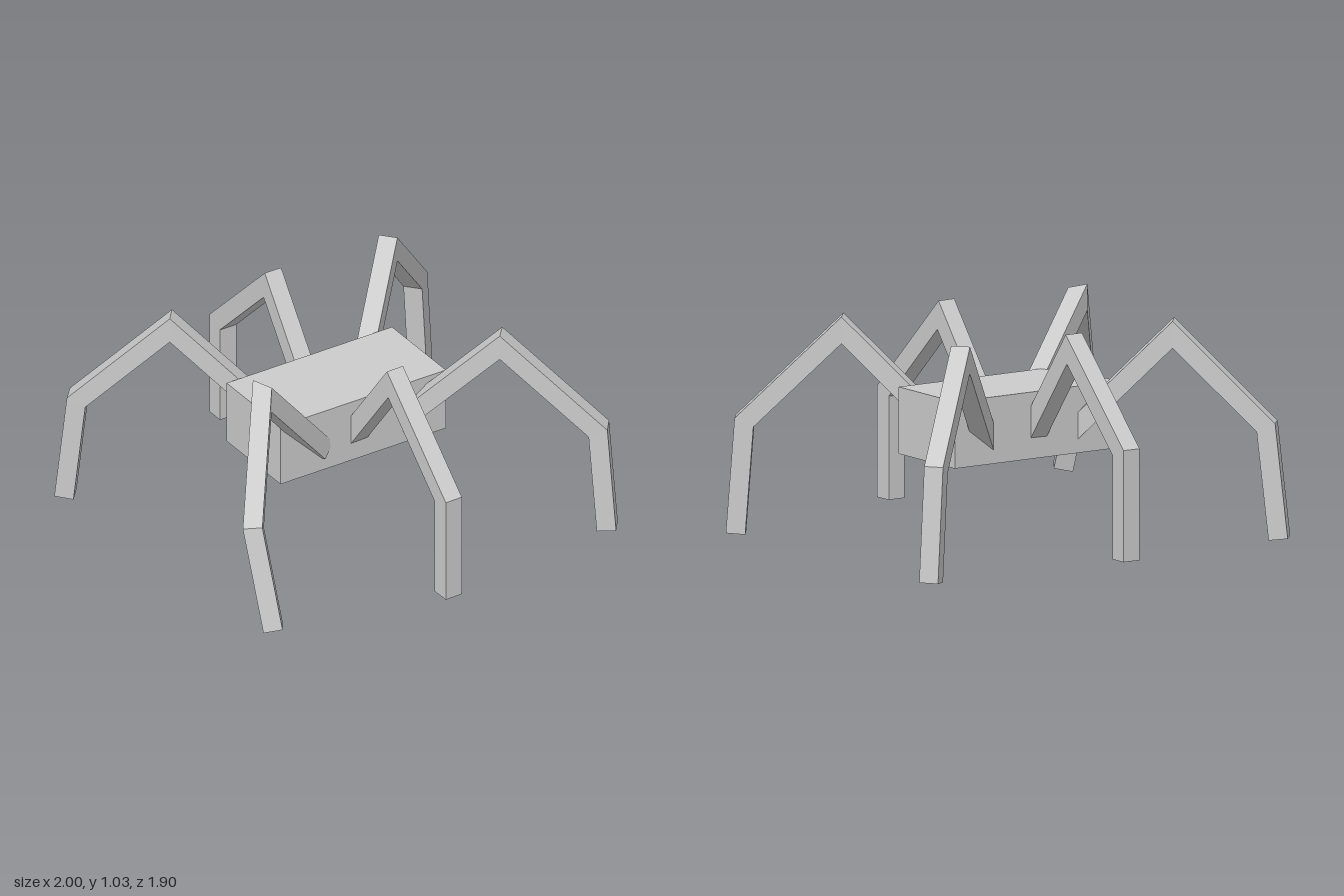
import * as THREE from 'three';

const HALF = 0.043; // half width of the square leg section

const material = () => new THREE.MeshStandardMaterial({ color: 0xcccccc, flatShading: true });

// Square beam swept along a bent path with mitred joints and square-cut ends
function mitredBeam(points) {
  const p = points.map((q) => new THREE.Vector3(...q));
  const dirs = p.slice(1).map((q, i) => q.clone().sub(p[i]).normalize());
  const normals = p.map((_, i) => {
    const a = dirs[Math.max(i - 1, 0)];
    const b = dirs[Math.min(i, dirs.length - 1)];
    return a.clone().add(b).normalize();
  });
  // slide corners along a segment until they meet the joint plane
  const slide = (ring, dir, i) => ring.map((c) => {
    const t = p[i].clone().sub(c).dot(normals[i]) / dir.dot(normals[i]);
    return c.clone().addScaledVector(dir, t);
  });

  // section set level on the middle segment, then carried both ways
  const d = dirs[1];
  const side = new THREE.Vector3(0, 1, 0).cross(d).normalize();
  const up = d.clone().cross(side);
  const section = [[1, 1], [-1, 1], [-1, -1], [1, -1]].map(([s, u]) =>
    p[1].clone().addScaledVector(side, s * HALF).addScaledVector(up, u * HALF));
  const knee = slide(section, d, 1);
  const ankle = slide(section, d, 2);
  const rings = [slide(knee, dirs[0], 0), knee, ankle, slide(ankle, dirs[2], 3)];

  const pos = [];
  const quad = (a, b, c, e) => [a, b, c, a, c, e].forEach((v) => pos.push(v.x, v.y, v.z));
  for (let i = 0; i < 3; i++) {
    for (let k = 0; k < 4; k++) {
      const n = (k + 1) % 4;
      quad(rings[i][k], rings[i][n], rings[i + 1][n], rings[i + 1][k]);
    }
  }
  quad(...rings[3]);
  quad(...[...rings[0]].reverse());

  const geometry = new THREE.BufferGeometry();
  geometry.setAttribute('position', new THREE.Float32BufferAttribute(pos, 3));
  geometry.computeVertexNormals();
  return geometry;
}

// Joint centres of each leg: root, knee, ankle, foot
const LEGS = {
  frontLeftLeg: [[0.21, 0.47, 0.16], [0.55, 0.925, 0.48], [0.892, 0.505, 0.745], [0.92, 0.005, 0.77]],
  backLeftLeg: [[0.22, 0.47, -0.16], [0.568, 0.93, -0.46], [0.895, 0.515, -0.742], [0.937, 0.017, -0.765]],
  frontRightLeg: [[-0.2, 0.48, 0.18], [-0.605, 0.957, 0.325], [-0.893, 0.56, 0.695], [-0.87, 0.1, 0.82]],
  backRightLeg: [[-0.22, 0.47, -0.16], [-0.59, 0.925, -0.437], [-0.9, 0.515, -0.715], [-0.938, 0.015, -0.755]],
  frontMiddleLeg: [[-0.025, 0.47, 0.155], [-0.018, 0.925, 0.5], [-0.006, 0.523, 0.908], [-0.006, 0.04, 0.908]],
  backMiddleLeg: [[-0.02, 0.47, -0.155], [-0.015, 0.925, -0.5], [-0.01, 0.523, -0.908], [-0.01, 0.04, -0.908]],
};

export function createModel() {
  const model = new THREE.Group();
  model.name = 'walker';

  // Plain box body
  const body = new THREE.Mesh(new THREE.BoxGeometry(0.87, 0.3, 0.435), material());
  body.name = 'body';
  body.position.set(-0.003, 0.54, -0.002);
  model.add(body);

  // Six jointed legs
  for (const [name, joints] of Object.entries(LEGS)) {
    const leg = new THREE.Mesh(mitredBeam(joints), material());
    leg.name = name;
    model.add(leg);
  }
  return model;
}
